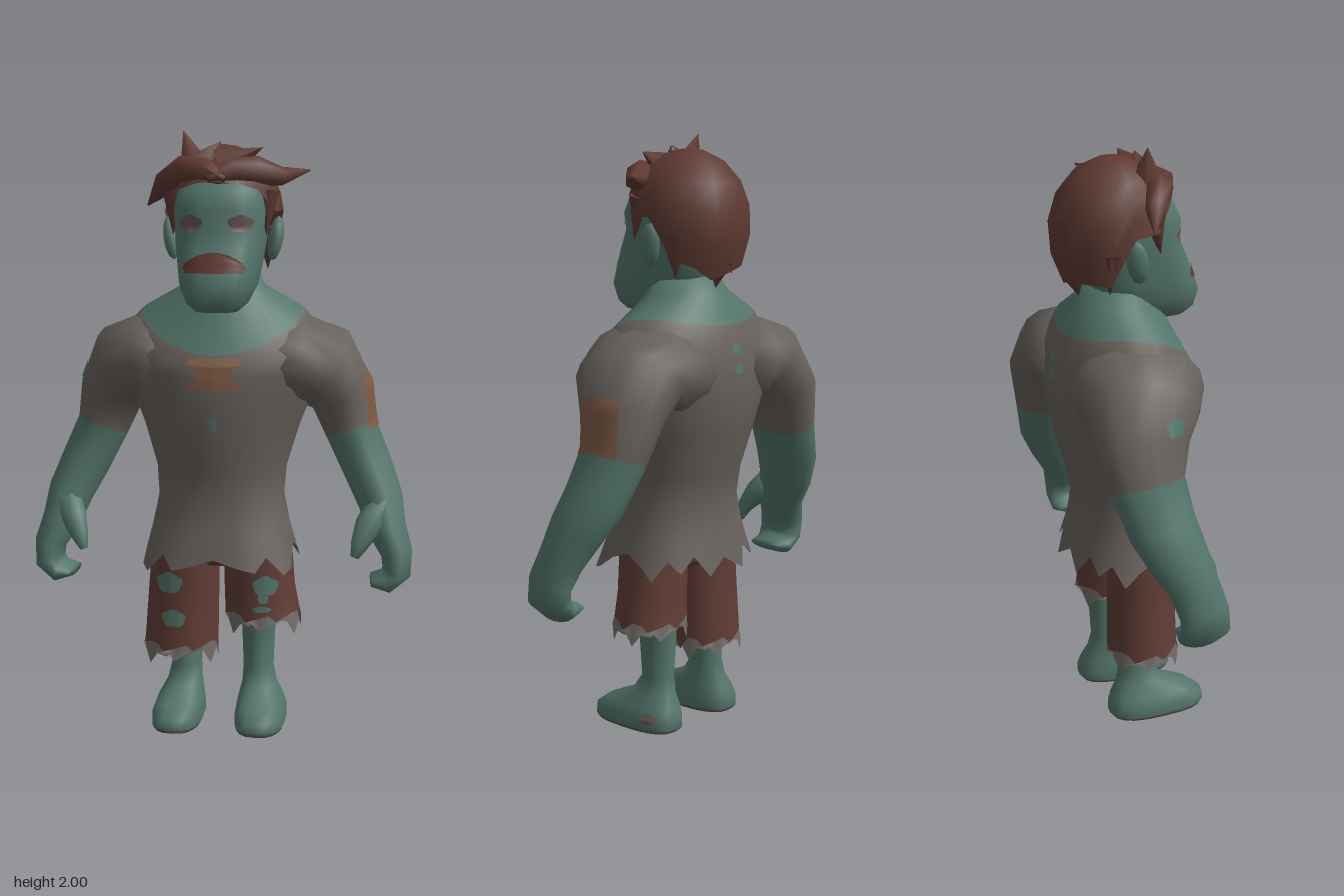
import * as THREE from 'three';

const mat = (name, color, side = THREE.FrontSide) => {
  const m = new THREE.MeshStandardMaterial({ color, side });
  m.name = name;
  return m;
};

// Smooth loft through elliptical rings [x, y, z, ra, rb, exponent].
// bands gives the material index between each pair of rings.
function loft(name, rings, mats, { sides = 20, vertical = false, bands, warp, cap = [true, true] } = {}) {
  const pos = [], idx = [], n = rings.length, Z = new THREE.Vector3(0, 0, 1);
  const centre = rings.map(r => new THREE.Vector3(r[0], r[1], r[2]));
  const spow = (v, e) => Math.sign(v) * Math.abs(v) ** e;
  rings.forEach((r, i) => {
    const T = vertical ? new THREE.Vector3(0, 1, 0)
      : centre[Math.min(i + 1, n - 1)].clone().sub(centre[Math.max(i - 1, 0)]).normalize();
    const A = T.clone().cross(Z).normalize(), B = A.clone().cross(T), e = r[5] ?? 1;
    for (let j = 0; j < sides; j++) {
      const a = j / sides * Math.PI * 2;
      const v = centre[i].clone().addScaledVector(A, r[3] * spow(Math.cos(a), e)).addScaledVector(B, r[4] * spow(Math.sin(a), e));
      if (warp) warp(v, i, j, a);
      pos.push(v.x, v.y, v.z);
    }
  });
  const g = new THREE.BufferGeometry();
  for (let i = 0; i < n - 1; i++) {
    const start = idx.length;
    for (let j = 0; j < sides; j++) {
      const k = (j + 1) % sides, a = i * sides + j, c = i * sides + k;
      idx.push(a, a + sides, c, c, a + sides, c + sides);
      if (i === 0 && cap[0]) idx.push(a, c, n * sides);
      if (i === n - 2 && cap[1]) idx.push(a + sides, n * sides + 1, c + sides);
    }
    g.addGroup(start, idx.length - start, bands ? bands[i] : 0);
  }
  for (const c of [centre[0], centre[n - 1]]) pos.push(c.x, c.y, c.z);
  g.setAttribute('position', new THREE.Float32BufferAttribute(pos, 3));
  g.setIndex(idx);
  g.computeVertexNormals();
  const m = new THREE.Mesh(g, mats);
  m.name = name;
  return m;
}

// Horizontal ring given by its back and front z
const ring = (x, y, back, front, rx, e) => [x, y, (back + front) / 2, rx, (front - back) / 2, e];

// Thin painted patch laid on a target surface, facing along n
function decal(name, target, material, n, [cx, cy, w, h], { square = false, bend = 0, rough = 0 } = {}) {
  const g = square ? new THREE.PlaneGeometry(2, 2, 8, 8) : new THREE.RingGeometry(0.01, 1, 18, 4);
  const N = new THREE.Vector3(...n), U = new THREE.Vector3(0, 1, 0).cross(N);
  const p = g.attributes.position, ray = new THREE.Raycaster();
  let depth = 0.2;
  for (let i = 0; i < p.count; i++) {
    const x = p.getX(i), y = p.getY(i), k = 1 + rough * Math.sin(Math.atan2(y, x) * 5);
    const o = U.clone().multiplyScalar(cx + x * k * w);
    o.y = cy + y * k * h - bend * x * x;
    ray.set(o.clone().addScaledVector(N, 2), N.clone().negate());
    const hit = ray.intersectObject(target, false)[0];
    if (hit) depth = hit.point.dot(N);
    o.addScaledVector(N, depth + 0.005);
    p.setXYZ(i, o.x, o.y, o.z);
  }
  g.computeVertexNormals();
  const m = new THREE.Mesh(g, material);
  m.name = name;
  return m;
}

// Pointed lock of hair from base to tip
function lock(base, tip, r, material) {
  const a = new THREE.Vector3(...base), d = new THREE.Vector3(...tip).sub(a), len = d.length();
  const m = new THREE.Mesh(new THREE.ConeGeometry(r, len, 6).translate(0, len / 2, 0), material);
  m.quaternion.setFromUnitVectors(new THREE.Vector3(0, 1, 0), d.normalize());
  m.position.copy(a);
  m.name = 'hairLock';
  return m;
}

export function createModel() {
  const skin = mat('skin', 0x53756b), shirt = mat('shirt', 0x67615c, THREE.DoubleSide);
  const hair = mat('hair', 0x5e3a32, THREE.DoubleSide), cloth = mat('trousers', 0x613d35, THREE.DoubleSide);
  const fray = mat('frayedCloth', 0x726c68, THREE.DoubleSide), patch = mat('patch', 0x7f5b45);
  const eye = mat('eye', 0x6a5a55), lips = mat('lips', 0x60392f), sole = mat('sole', 0x5f5c57);
  const model = new THREE.Group();
  const add = (...m) => model.add(...m);
  const F = [0, 0, 1], K = [0, 0, -1];
  // Offsets of a torn edge, in wide irregular teeth
  const tear = j => [0.025, 0.01, -0.035, 0.02, 0.03, 0.015, -0.015][j % 7];
  // Shirt hem offsets from the middle of the front round to the back
  const hem = [0.01, -0.015, -0.03, 0.015, -0.045, -0.03, 0.01, 0.03, 0, -0.045, 0.02, -0.02, 0.03, -0.04, 0.01];

  // Torso: ragged shirt with bare neckline
  const drop = [0, 0, 0, 0, 0, 0, 0.012, 0.03, 0.055, 0.015, 0];
  const lift = [0, 0, 0, 0, 0, 0, 0.02, 0.05, 0.075, 0.015, 0];
  const torso = loft('torso', [
    ring(0, 0.595, -0.195, 0.24, 0.258, 0.8), ring(0, 0.69, -0.175, 0.22, 0.232, 0.85), ring(0, 0.79, -0.165, 0.195, 0.212, 0.9),
    ring(0, 0.89, -0.19, 0.21, 0.22), ring(0, 1.03, -0.23, 0.23, 0.262), ring(0, 1.14, -0.25, 0.235, 0.305),
    ring(0, 1.22, -0.25, 0.23, 0.34), ring(0, 1.275, -0.24, 0.225, 0.35), ring(0, 1.335, -0.215, 0.205, 0.275),
    ring(0, 1.475, -0.16, 0.12, 0.14), ring(0, 1.56, -0.11, 0.09, 0.11),
  ], [shirt, skin], {
    sides: 28, vertical: true, cap: [false, true], bands: [0, 0, 0, 0, 0, 0, 0, 0, 1, 1],
    warp: (v, i, j, a) => {
      v.y += lift[i] * Math.cos(a) ** 2 - drop[i] * Math.sin(a);
      if (i === 0) {
        const d = Math.abs(j - 7), t = hem[Math.min(d, 28 - d)], flare = 1 - t * 1.8;
        v.set(v.x * flare, v.y + t, v.z * flare);
      }
    },
  });
  add(torso);
  for (const [y, h] of [[1.258, 0.013], [1.185, 0.015]]) add(decal('chestPatch', torso, patch, F, [0, y, 0.085, h], { square: true }));
  add(decal('chestPatch', torso, patch, F, [0, 1.22, 0.06, 0.024], { square: true }));
  add(decal('shirtHole', torso, skin, F, [0, 1.06, 0.014, 0.026], { rough: 0.15 }));
  for (const y of [1.31, 1.25]) add(decal('shirtHole', torso, skin, K, [0, y, 0.022, 0.017], { rough: 0.15 }));

  // Arms, hands, legs and feet
  for (const s of [1, -1]) {
    const side = s > 0 ? 'left' : 'right';
    const flip = r => [s * r[0], ...r.slice(1)];
    const arm = loft(side + 'Arm', [
      [0.11, 1.235, -0.025, 0.145, 0.215], [0.24, 1.245, -0.045, 0.16, 0.217], [0.33, 1.22, -0.07, 0.146, 0.188],
      [0.395, 1.125, -0.1, 0.112, 0.155], [0.43, 1.0, -0.095, 0.09, 0.125], [0.49, 0.87, -0.07, 0.085, 0.115],
      [0.535, 0.77, -0.03, 0.078, 0.1], [0.56, 0.68, 0.01, 0.066, 0.085], [0.595, 0.6, 0.03, 0.053, 0.085],
      [0.595, 0.54, 0.035, 0.05, 0.085], [0.56, 0.505, 0.035, 0.04, 0.08], [0.51, 0.508, 0.04, 0.017, 0.07],
    ].map(flip), [shirt, skin], { sides: 16, bands: [0, 0, 0, 0, 1, 1, 1, 1, 1, 1, 1] });
    add(arm, loft(side + 'Thumb', [
      [0.54, 0.76, 0.02, 0.05, 0.055], [0.5, 0.7, 0.075, 0.046, 0.04], [0.474, 0.645, 0.11, 0.03, 0.026],
      [0.458, 0.602, 0.12, 0.014, 0.014],
    ].map(flip), [skin], { sides: 8 }));
    if (s > 0) add(decal('sleevePatch', arm, patch, [1, 0, 0], [0.09, 1.11, 0.083, 0.088], { square: true, bend: 0.012 }));
    else add(decal('sleeveHole', arm, skin, [-1, 0, 0], [-0.02, 1.2, 0.035, 0.03], { rough: 0.15 }));

    const leg = loft(side + 'LegAndFoot', [
      ring(0.142, 0, -0.095, 0.235, 0.08, 0.75), ring(0.142, 0.012, -0.105, 0.243, 0.085, 0.75),
      ring(0.142, 0.045, -0.105, 0.24, 0.085, 0.75), ring(0.138, 0.08, -0.095, 0.195, 0.077, 0.8),
      ring(0.13, 0.125, -0.075, 0.09, 0.06), ring(0.125, 0.18, -0.062, 0.052, 0.052),
      ring(0.125, 0.33, -0.072, 0.062, 0.058), ring(0.13, 0.55, -0.08, 0.08, 0.075),
    ].map(flip), [sole, skin], { vertical: true, bands: [0, 1, 1, 1, 1, 1, 1] });
    add(leg);
    if (s > 0) add(decal('footGraze', leg, eye, [1, 0, 0], [0.04, 0.05, 0.03, 0.018]));

    // Trouser leg with torn, frayed hem; the right one is longer
    const low = s > 0 ? 0.35 : 0.235;
    const trouser = loft(side + 'TrouserLeg', [
      ring(0.143, low, -0.11, 0.14, 0.13), ring(0.14, low + 0.025, -0.105, 0.135, 0.127),
      ring(0.13, 0.48, -0.1, 0.13, 0.121), ring(0.122, 0.66, -0.1, 0.13, 0.115),
    ].map(flip), [fray, cloth], {
      sides: 24, vertical: true, cap: [false, false], bands: [0, 1, 1],
      warp: (v, i, j) => {
        if (i === 0) v.y += tear(j) * 0.9;
        if (i === 1) v.y += tear(j + 2) * 0.7;
      },
    });
    add(trouser);
    const holes = s > 0 ? [[0.162, 0.495, 0.042, 0.034], [0.155, 0.452, 0.018, 0.018], [0.15, 0.415, 0.032, 0.011]]
      : [[-0.165, 0.495, 0.046, 0.036], [-0.15, 0.372, 0.042, 0.03]];
    for (const h of holes) add(decal('trouserHole', trouser, skin, F, h, { rough: 0.08 }));
  }
  add(loft('hips', [ring(0, 0.55, -0.06, 0.09, 0.12), ring(0, 0.585, -0.1, 0.125, 0.21), ring(0, 0.7, -0.11, 0.13, 0.2)],
    [cloth], { vertical: true }));

  // Head with heavy jaw
  const head = loft('head', [
    ring(0, 1.42, 0.06, 0.22, 0.07, 0.85), ring(0, 1.445, -0.02, 0.247, 0.1, 0.8), ring(0, 1.5, -0.1, 0.26, 0.125, 0.75),
    ring(0, 1.56, -0.13, 0.235, 0.135, 0.72), ring(0, 1.62, -0.15, 0.212, 0.145, 0.75), ring(0, 1.69, -0.17, 0.178, 0.153, 0.75),
    ring(0, 1.745, -0.18, 0.187, 0.157, 0.75), ring(0, 1.81, -0.18, 0.16, 0.15, 0.8), ring(0, 1.88, -0.16, 0.09, 0.12),
  ], [skin], { sides: 24, vertical: true });
  add(head, decal('mouth', head, lips, F, [0, 1.59, 0.105, 0.024], { bend: 0.03 }));
  add(decal('mouth', head, lips, F, [0, 1.564, 0.095, 0.016], { square: true }));
  for (const s of [1, -1]) {
    add(decal('eye', head, eye, F, [s * 0.082, 1.703, 0.04, 0.028], { rough: 0.08 }));
    const ear = new THREE.Mesh(new THREE.SphereGeometry(1, 8, 6), skin);
    ear.scale.set(0.026, 0.075, 0.036);
    ear.position.set(s * 0.175, 1.648, -0.02);
    ear.rotation.set(-0.15, s * 0.3, -s * 0.15);
    ear.name = 'ear';
    add(ear);
  }

  // Hair cap with a ragged edge: low at the back, high over the brow
  const edge = [[-1, 1.545], [-0.5, 1.57], [-0.25, 1.63], [0, 1.72], [0.25, 1.71], [0.5, 1.76], [0.75, 1.82], [1, 1.835]];
  const edgeAt = s => {
    const i = Math.max(1, edge.findIndex(e => e[0] >= s - 1e-6)), [a, b] = [edge[i - 1], edge[i]];
    return THREE.MathUtils.lerp(a[1], b[1], (s - a[0]) / (b[0] - a[0]));
  };
  add(loft('hairCap', Array.from({ length: 6 }, (_, i) => [0, i === 5 ? 1.955 : 1.5, i === 5 ? -0.03 : 0, 1, 1]), [hair], {
    sides: 16, vertical: true, cap: [false, true],
    warp: (v, i, j, a) => {
      const s = Math.sin(a), e = edgeAt(s) + (s < 0.2 ? tear(j) * 0.8 : 0), ry = e < 1.72 ? 0.28 : 0.235;
      const low = Math.asin((e - 1.72) / ry), f = THREE.MathUtils.lerp(low, 1.35, i / 5);
      const r = Math.cos(f);
      v.set(0.2 * r * Math.cos(a), 1.72 + (f < 0 ? 0.28 : 0.235) * Math.sin(f), -0.035 + (s > 0 ? 0.225 : 0.207) * r * s);
    },
  }));
  // Fringe swept from the middle of the brow out to a point on each side
  add(loft('leftFringe', [
    [-0.03, 1.845, 0.155, 0.012, 0.02], [0.04, 1.865, 0.115, 0.045, 0.05], [0.12, 1.868, 0.07, 0.05, 0.05],
    [0.2, 1.852, 0.02, 0.03, 0.035], [0.285, 1.87, -0.045, 0.003, 0.003],
  ], [hair], { sides: 6 }));
  add(loft('rightFringe', [
    [0.03, 1.845, 0.155, 0.012, 0.02], [-0.04, 1.868, 0.115, 0.045, 0.05], [-0.12, 1.868, 0.075, 0.05, 0.05],
    [-0.19, 1.825, 0.035, 0.04, 0.035], [-0.25, 1.755, 0.005, 0.003, 0.003],
  ], [hair], { sides: 6 }));
  for (const [b, t, r] of [
    [[-0.08, 1.87, 0.05], [-0.125, 2.0, 0.035], 0.06], [[-0.04, 1.89, 0.05], [0, 1.965, 0.045], 0.07],
    [[0.0, 1.885, 0.05], [0.14, 1.945, 0.045], 0.065], [[-0.15, 1.8, 0.04], [-0.155, 1.66, 0.07], 0.045],
    [[0.15, 1.8, 0.04], [0.155, 1.66, 0.07], 0.045], [[0.14, 1.68, -0.1], [0.14, 1.54, -0.1], 0.05],
    [[-0.14, 1.68, -0.1], [-0.14, 1.54, -0.1], 0.05], [[0, 1.6, -0.17], [0, 1.505, -0.15], 0.05],
  ]) add(lock(b, t, r, hair));
  return model;
}
